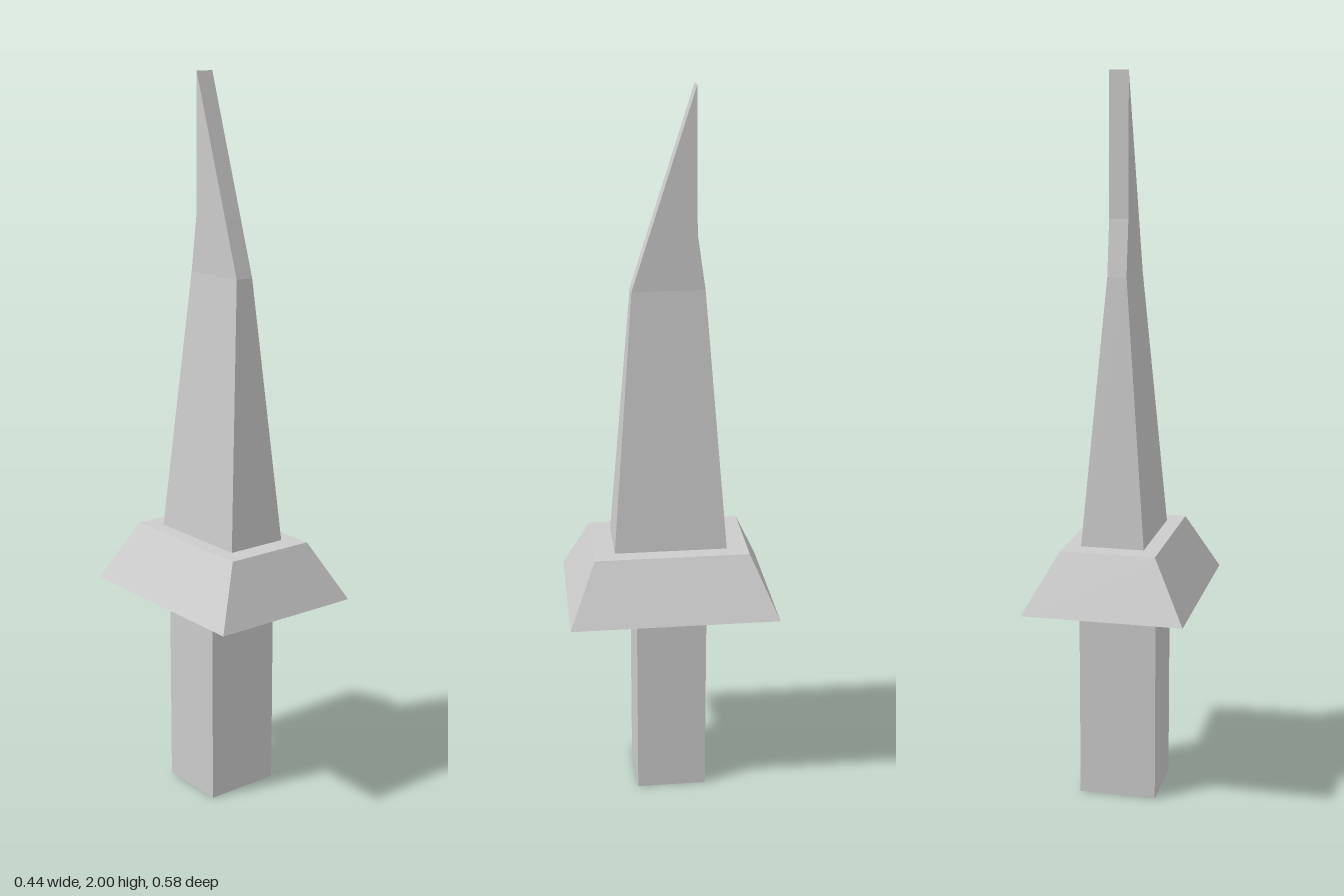
import * as THREE from 'three';

// Lofts rectangular sections [y, halfWidth, zBack, zFront] into a closed, flat-faced solid
function loft(name, sections, material) {
  const rings = sections.map(([y, w, zb, zf]) => [[-w, y, zf], [w, y, zf], [w, y, zb], [-w, y, zb]]);
  const pos = [];
  const quad = (a, b, c, d) => pos.push(...a, ...b, ...c, ...a, ...c, ...d);
  for (let s = 0; s < rings.length - 1; s++) {
    const lo = rings[s], hi = rings[s + 1];
    for (let i = 0; i < 4; i++) {
      const j = (i + 1) % 4;
      quad(lo[i], lo[j], hi[j], hi[i]);
    }
  }
  quad(...[...rings[0]].reverse());
  quad(...rings[rings.length - 1]);
  const geometry = new THREE.BufferGeometry();
  geometry.setAttribute('position', new THREE.Float32BufferAttribute(pos, 3));
  geometry.computeVertexNormals();
  const mesh = new THREE.Mesh(geometry, material);
  mesh.name = name;
  return mesh;
}

export function createModel() {
  const group = new THREE.Group();
  group.name = 'dagger';
  const material = new THREE.MeshStandardMaterial({ color: 0xcccccc, flatShading: true });

  // Square grip
  group.add(loft('handle', [
    [0, 0.108, -0.098, 0.098],
    [0.52, 0.108, -0.098, 0.098],
  ], material));

  // Flared guard, bevelled above and below
  group.add(loft('guard', [
    [0.52, 0.108, -0.098, 0.098],
    [0.58, 0.22, -0.288, 0.288],
    [0.745, 0.13, -0.214, 0.214],
  ], material));

  // Tapered blade with a slanted front edge ending at the back
  group.add(loft('blade', [
    [0.745, 0.087, -0.156, 0.156],
    [1.47, 0.026, -0.098, 0.098],
    [1.62, 0.026, -0.076, 0.05],
    [2, 0.026, -0.072, -0.072],
  ], material));

  return group;
}
